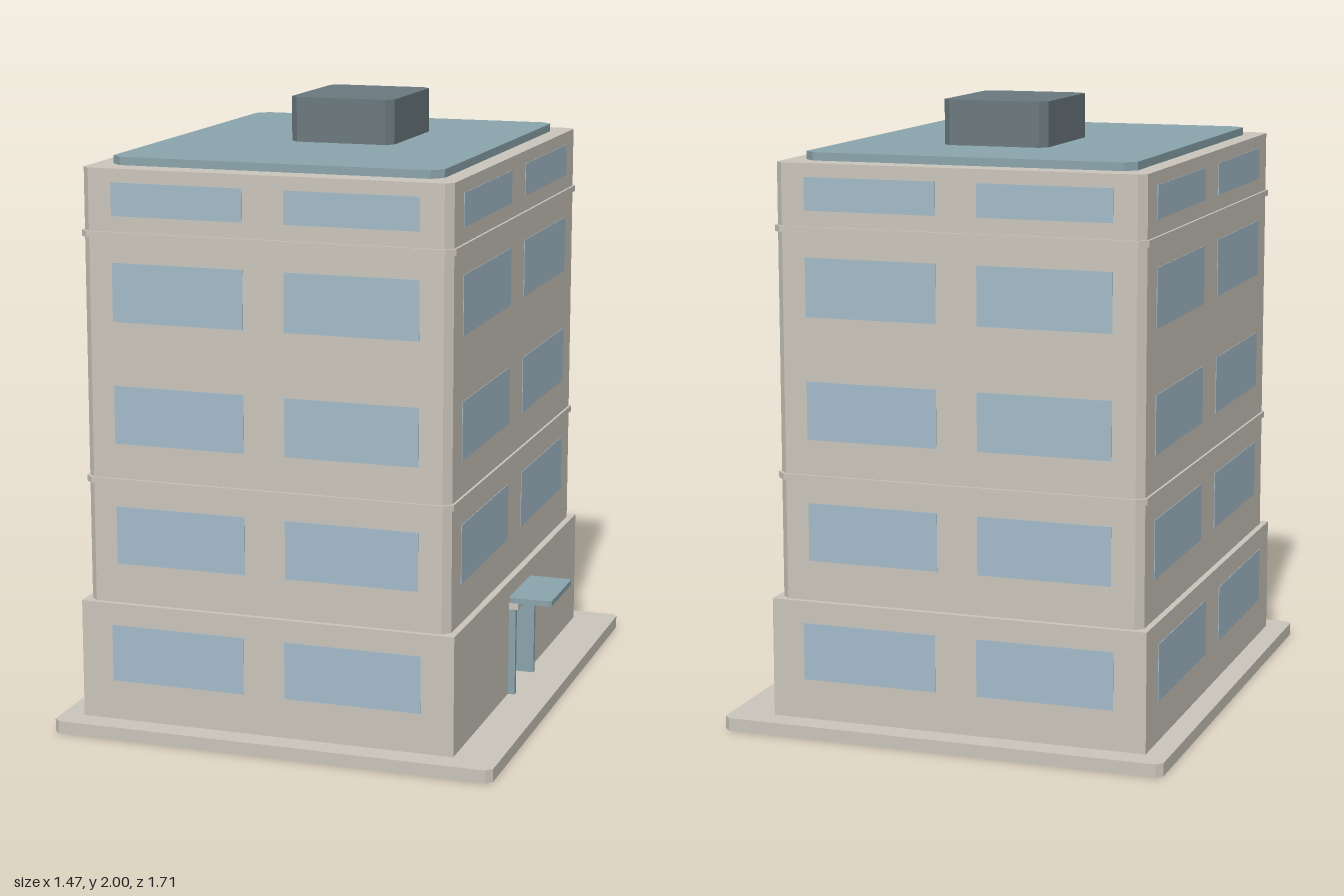
import * as THREE from 'three';

const material = (name, color) => {
  const m = new THREE.MeshStandardMaterial({ color });
  m.name = name;
  return m;
};

export function createModel() {
  const model = new THREE.Group();
  model.name = 'officeBuilding';
  const wall = material('stone', 0xcac5bb);
  const glass = material('windowGlass', 0xa3bbc9);
  const teal = material('tealMetal', 0x8aa4ab);
  const slate = material('slate', 0x6a787d);

  const add = (name, geometry, mat, parent = model) => {
    const mesh = new THREE.Mesh(geometry, mat);
    mesh.name = name;
    parent.add(mesh);
    return mesh;
  };

  // Upright prism from a plan outline of [x, z] points
  const prism = (plan, y0, y1) => {
    const shape = new THREE.Shape(plan.map(([x, z]) => new THREE.Vector2(x, -z)));
    return new THREE.ExtrudeGeometry(shape, { depth: y1 - y0, bevelEnabled: false })
      .rotateX(-Math.PI / 2).translate(0, y0, 0);
  };

  // Block with its four vertical edges chamfered by c
  const block = (x0, x1, y0, y1, z0, z1, c) => prism([
    [x0 + c, z1], [x1 - c, z1], [x1, z1 - c], [x1, z0 + c],
    [x1 - c, z0], [x0 + c, z0], [x0, z0 + c], [x0, z1 - c],
  ], y0, y1);

  const box = (x0, x1, y0, y1, z0, z1) =>
    new THREE.BoxGeometry(x1 - x0, y1 - y0, z1 - z0)
      .translate((x0 + x1) / 2, (y0 + y1) / 2, (z0 + z1) / 2);

  // Ground slab
  add('baseSlab', block(-0.735, 0.732, 0, 0.042, -0.858, 0.853, 0.02), wall);

  // Hollow ground floor: three walls, a wall with a doorway, and a ceiling
  const P = { x0: -0.66, x1: 0.587, z0: -0.776, z1: 0.772, y0: 0.042, y1: 0.43, t: 0.04 };
  const inner = P.x1 - P.t;
  add('groundFloorWalls', prism([
    [P.x0, P.z1], [inner, P.z1], [inner, P.z1 - P.t], [P.x0 + P.t, P.z1 - P.t],
    [P.x0 + P.t, P.z0 + P.t], [inner, P.z0 + P.t], [inner, P.z0], [P.x0, P.z0],
  ], P.y0, P.y1), wall);
  const doorWall = new THREE.Shape([
    [-P.z1, P.y0], [-0.13, P.y0], [-0.13, 0.36], [0.13, 0.36], [0.13, P.y0],
    [-P.z0, P.y0], [-P.z0, P.y1], [-P.z1, P.y1],
  ].map(([a, b]) => new THREE.Vector2(a, b)));
  add('entranceWall', new THREE.ExtrudeGeometry(doorWall, { depth: P.t, bevelEnabled: false })
    .rotateY(Math.PI / 2).translate(inner, 0, 0), wall);
  add('groundFloorCeiling',
    box(P.x0 + P.t, inner, 0.4, P.y1, P.z0 + P.t, P.z1 - P.t), wall);

  // Entrance: door posts, lintel and canopy
  const entrance = new THREE.Group();
  entrance.name = 'entrance';
  model.add(entrance);
  for (const s of [-1, 1]) {
    const z = s * 0.1225;
    add('doorPost', box(inner, 0.61, P.y0, 0.335, z - 0.0085, z + 0.0085), teal, entrance);
  }
  add('lintel', box(inner, 0.618, 0.335, 0.36, -0.131, 0.131), wall, entrance);
  add('canopy', block(0.583, 0.732, 0.358, 0.376, -0.141, 0.135, 0.01), teal, entrance);

  // Tower with two projecting bands
  const T = { x0: -0.64, x1: 0.565, z0: -0.758, z1: 0.755 };
  add('tower', block(T.x0, T.x1, P.y1, 1.828, T.z0, T.z1, 0.024), wall);
  for (const y of [0.83, 1.62]) {
    const e = 0.008;
    add('floorBand',
      block(T.x0 - e, T.x1 + e, y - 0.01, y + 0.01, T.z0 - e, T.z1 + e, 0.026), wall);
  }

  // Roof deck and rooftop housing
  add('roofDeck', block(-0.58, 0.505, 1.828, 1.854, -0.675, 0.67, 0.035), teal);
  add('roofHousing', block(-0.178, 0.174, 1.854, 2, -0.311, 0.121, 0.025), slate);

  // Windows: thin plates, two per floor on each facade
  const windows = new THREE.Group();
  windows.name = 'windows';
  model.add(windows);
  const e = 0.002;
  const frontBack = (z, y0, y1, a, b) => {
    for (const [x0, x1] of [[-b, -a], [a, b]]) {
      add('window', box(x0 - 0.0375, x1 - 0.0375, y0, y1, z - e, z + e), glass, windows);
    }
  };
  const sides = (x, y0, y1, a, b) => {
    for (const [z0, z1] of [[-b, -a], [a, b]]) {
      add('window', box(x - e, x + e, y0, y1, z0, z1), glass, windows);
    }
  };
  for (const [y0, y1] of [[0.56, 0.748], [0.953, 1.14], [1.345, 1.533], [1.68, 1.785]]) {
    for (const z of [T.z0, T.z1]) frontBack(z, y0, y1, 0.067, 0.502);
    for (const x of [T.x0, T.x1]) sides(x, y0, y1, 0.084, 0.631);
  }
  for (const z of [P.z0, P.z1]) frontBack(z, 0.172, 0.358, 0.069, 0.517);
  sides(P.x0, 0.172, 0.358, 0.086, 0.645);

  return model;
}
